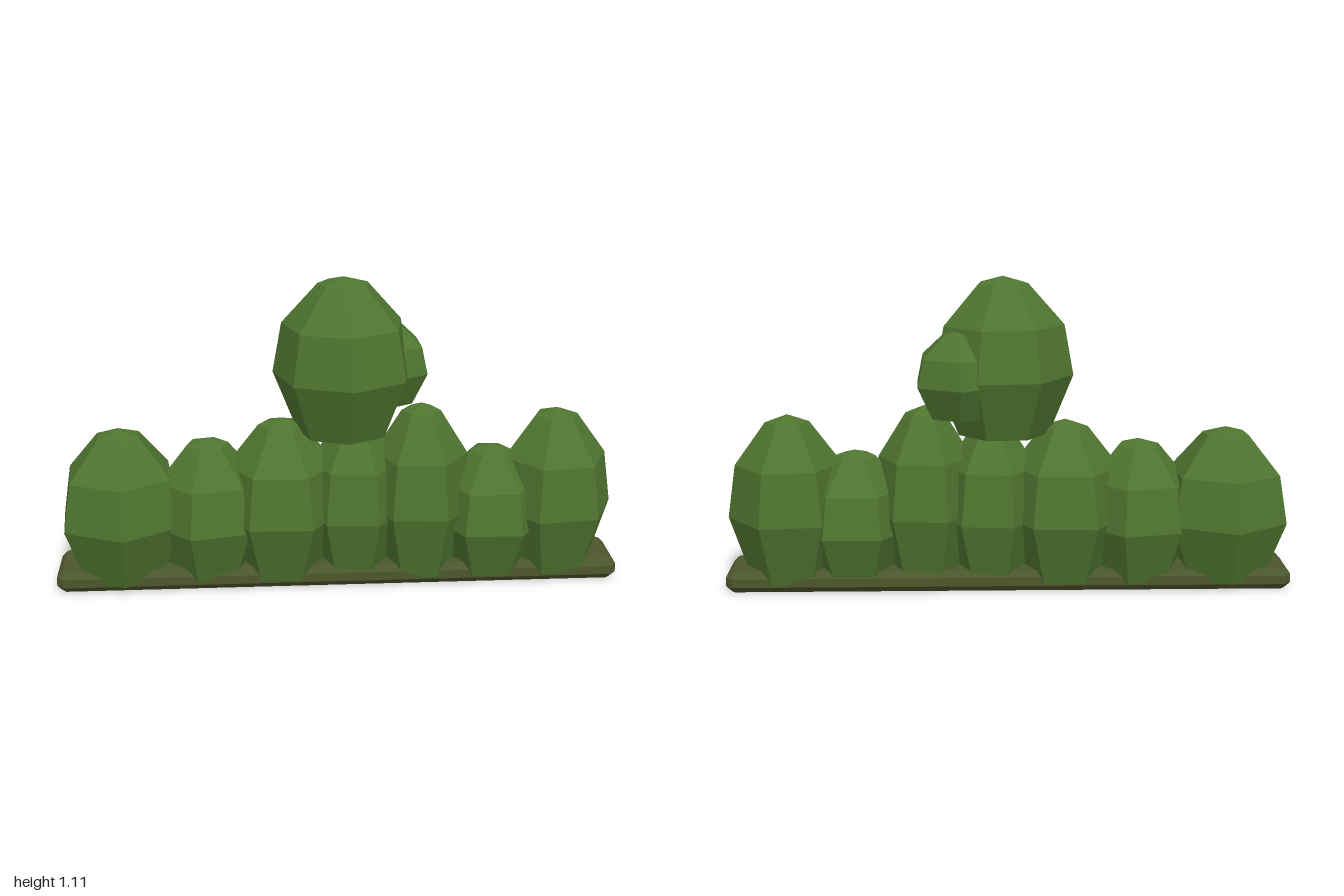
import * as THREE from 'three';

const leaf = new THREE.MeshStandardMaterial({ color: 0x4f7530, flatShading: true });
leaf.name = 'leaf green';
const soil = new THREE.MeshStandardMaterial({ color: 0x4c562c, flatShading: true });
soil.name = 'mossy soil';

// Faceted egg-shaped shrub; angle is the direction of one corner, from +x towards +z
function bush(name, x, z, y0, y1, radius, angle, sides = 6) {
  const profile = [[0, 0], [0.66, 0], [1, 0.38], [0.87, 0.7], [0.36, 0.955], [0, 1]]
    .map(([r, h]) => new THREE.Vector2(r * radius, h * (y1 - y0)));
  const start = THREE.MathUtils.degToRad(90 - angle);
  const mesh = new THREE.Mesh(new THREE.LatheGeometry(profile, sides, start), leaf);
  mesh.name = name;
  mesh.position.set(x, y0, z);
  return mesh;
}

// Low planting strip with bevelled edges
function plantingStrip() {
  const w = 0.98, d = 0.102, c = 0.012;
  const outline = new THREE.Shape([
    [-w + c, -d], [w - c, -d], [w, -d + c], [w, d - c],
    [w - c, d], [-w + c, d], [-w, d - c], [-w, -d + c],
  ].map(([x, y]) => new THREE.Vector2(x, y)));
  const geo = new THREE.ExtrudeGeometry(outline, {
    depth: 0.031, bevelEnabled: true, bevelThickness: 0.022, bevelSize: 0.02, bevelSegments: 1,
  });
  geo.rotateX(-Math.PI / 2);
  const mesh = new THREE.Mesh(geo, soil);
  mesh.name = 'plantingStrip';
  mesh.position.set(0, 0.022, -0.008);
  return mesh;
}

export function createModel() {
  const group = new THREE.Group();
  group.name = 'hedge';
  group.add(plantingStrip());

  // Row of shrubs: x, z, top height, radius, corner angle
  const row = [
    [-0.77, -0.008, 0.57, 0.232, 25],
    [-0.46, -0.012, 0.53, 0.208, -13],
    [-0.20, -0.01, 0.60, 0.222, 2],
    [0.06, -0.008, 0.60, 0.185, 5],
    [0.295, 0.004, 0.65, 0.192, 5],
    [0.545, 0, 0.49, 0.205, 1],
    [0.78, -0.006, 0.62, 0.215, -7],
  ];
  row.forEach(([x, z, top, r, a], i) => group.add(bush(`shrub${i + 1}`, x, z, 0.03, top, r, a)));

  // Raised crown with a smaller clump behind its side
  group.add(bush('crown', 0.02, -0.002, 0.552, 1.105, 0.248, 85, 7));
  group.add(bush('sideClump', 0.17, -0.1, 0.63, 0.93, 0.168, 28));
  return group;
}
